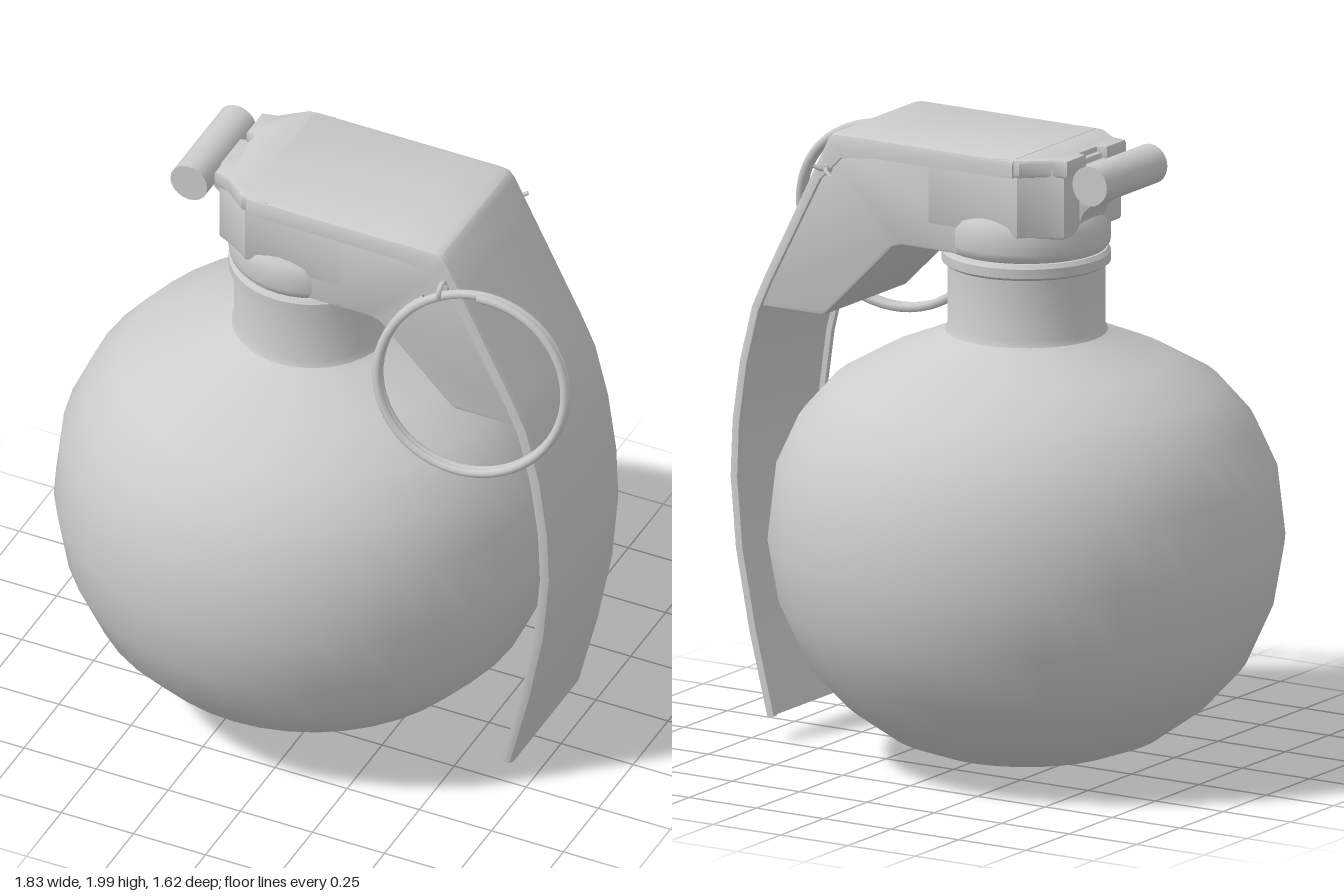
import * as THREE from 'three';
import { toCreasedNormals } from 'three/addons/utils/BufferGeometryUtils.js';

const grey = new THREE.MeshStandardMaterial({ color: 0xcccccc, side: THREE.DoubleSide });
const V2 = (p) => new THREE.Vector2(p[0], p[1]);
const AXIS_X = -0.11;

function add(parent, name, geometry, crease) {
  const mesh = new THREE.Mesh(crease ? toCreasedNormals(geometry, crease) : geometry, grey);
  mesh.name = name;
  parent.add(mesh);
  return mesh;
}

function lathe(parent, name, points, segments = 40) {
  const mesh = add(parent, name, new THREE.LatheGeometry(points.map(V2), segments), 0.6);
  mesh.position.x = AXIS_X;
  return mesh;
}

// Side outline in x/y, extruded evenly about z = 0
function sideBlock(parent, name, points, halfWidth, bevel) {
  const g = new THREE.ExtrudeGeometry(new THREE.Shape(points.map(V2)), {
    depth: 2 * (halfWidth - bevel), bevelThickness: bevel, bevelSize: bevel, bevelOffset: -bevel, bevelSegments: 2,
  });
  g.translate(0, 0, -(halfWidth - bevel));
  return add(parent, name, g, 0.6);
}

// Plan outline in x/z, extruded from y0 up to y1
function planBlock(parent, name, points, y0, y1, bevel) {
  const g = new THREE.ExtrudeGeometry(new THREE.Shape(points.map(V2)), {
    depth: y1 - y0 - 2 * bevel, bevelThickness: bevel, bevelSize: bevel, bevelOffset: -bevel, bevelSegments: 2,
  });
  g.rotateX(-Math.PI / 2);
  g.translate(0, y0 + bevel, 0);
  return add(parent, name, g, 0.6);
}

// U-shaped sheet swept along a path in x/y; flange depth is given per point
function channel(path) {
  const section = (f) => [
    [-0.255, f], [-0.255, 0.022], [-0.249, 0.007], [-0.233, 0], [0.233, 0], [0.249, 0.007],
    [0.255, 0.022], [0.255, f], [0.236, f], [0.236, 0.016], [-0.236, 0.016], [-0.236, f],
  ];
  const n = section(0.03).length, pos = [], idx = [];
  path.forEach(([x, y, f], i) => {
    const a = V2(path[Math.max(i - 1, 0)]), b = V2(path[Math.min(i + 1, path.length - 1)]);
    const t = b.sub(a).normalize();
    for (const [z, d] of section(f)) pos.push(x + t.y * d, y - t.x * d, z);
  });
  for (let i = 0; i < path.length - 1; i++) {
    for (let j = 0; j < n; j++) {
      const a = i * n + j, b = i * n + (j + 1) % n;
      idx.push(a, b, a + n, b, b + n, a + n);
    }
  }
  // End caps
  const last = (path.length - 1) * n;
  for (const [a, b, c] of THREE.ShapeUtils.triangulateShape(section(0.035).map(V2), [])) {
    idx.push(a, b, c, last + a, last + c, last + b);
  }
  const g = new THREE.BufferGeometry();
  g.setAttribute('position', new THREE.Float32BufferAttribute(pos, 3));
  g.setIndex(idx);
  return g;
}

// Split ring: a coil of nearly two turns lying in a tilted plane
class CoilCurve extends THREE.Curve {
  getPoint(t, target = new THREE.Vector3()) {
    const a = 2.2 + t * Math.PI * 3.8;
    const x = 0.305 * Math.cos(a), y = 0.305 * Math.sin(a);
    return target.set(0.595 + x, 1.59 + y, 0.305 - 0.15 * x - 0.18 * y + 0.03 * t);
  }
}

export function createModel() {
  const model = new THREE.Group();
  model.name = 'leverTopVessel';

  // Round body running up into the neck
  lathe(model, 'body', [
    [0, 0.008], [0.31, 0.055], [0.43, 0.1], [0.57, 0.2], [0.69, 0.33], [0.775, 0.52], [0.81, 0.72],
    [0.785, 0.94], [0.715, 1.095], [0.61, 1.215], [0.46, 1.3], [0.28, 1.375], [0.255, 1.39], [0.247, 1.41],
    [0.247, 1.62],
  ]);
  lathe(model, 'collar', [
    [0.2, 1.605], [0.25, 1.605], [0.265, 1.615], [0.265, 1.645], [0.255, 1.658], [0.2, 1.658],
  ]);

  // Head: rounded base, tapered core and the cheek that slopes down behind the lever
  const head = new THREE.Group();
  head.name = 'head';
  model.add(head);
  lathe(head, 'headBase', [
    [0, 1.66], [0.25, 1.66], [0.262, 1.675], [0.265, 1.69], [0.265, 1.745], [0.255, 1.775], [0.235, 1.8], [0, 1.8],
  ]);
  planBlock(head, 'headCore', [
    [-0.355, -0.165], [-0.31, -0.185], [-0.23, -0.24], [0.1, -0.24], [0.1, 0.24], [-0.23, 0.24],
    [-0.31, 0.185], [-0.355, 0.165],
  ], 1.74, 1.98, 0.012);
  sideBlock(head, 'cheek', [
    [-0.15, 1.665], [0.2, 1.665], [0.235, 1.655], [0.26, 1.63], [0.485, 1.405], [0.5, 1.4], [0.72, 1.4],
    [0.74, 1.415], [0.48, 1.93], [0.44, 1.98], [-0.15, 1.98],
  ], 0.24, 0.01);

  // Notched end of the cover plate
  planBlock(head, 'coverEnd', [
    [-0.37, -0.17], [-0.32, -0.18], [-0.24, -0.245], [-0.15, -0.25], [-0.15, 0.25], [-0.24, 0.245],
    [-0.32, 0.18], [-0.37, 0.17], [-0.37, 0.06], [-0.34, 0.05], [-0.34, -0.05], [-0.37, -0.06],
  ], 1.94, 1.999, 0.01);

  // Hinge barrel and its bracket
  const barrel = new THREE.CylinderGeometry(0.064, 0.064, 0.35, 20);
  barrel.rotateX(Math.PI / 2);
  add(head, 'hingeBarrel', barrel, 0.6).position.set(-0.455, 1.93, 0.003);
  sideBlock(head, 'hingeBracket', [
    [-0.44, 1.875], [-0.37, 1.81], [-0.345, 1.75], [-0.3, 1.75], [-0.3, 1.96], [-0.36, 1.96], [-0.41, 1.95],
  ], 0.075, 0.008);

  // Cover and lever pressed from one channel
  add(model, 'lever', channel([
    [-0.22, 2, 0.06], [0.3, 2, 0.065], [0.43, 2, 0.08], [0.455, 1.993, 0.08], [0.475, 1.97, 0.08],
    [0.53, 1.86, 0.04], [0.71, 1.5, 0.035], [0.755, 1.4, 0.035], [0.8, 1.22, 0.035], [0.828, 1.02, 0.035],
    [0.835, 0.84, 0.035], [0.815, 0.61, 0.035], [0.765, 0.35, 0.035], [0.698, 0.08, 0.035],
  ]), 0.6);

  // Safety pin with spread tips at the back, and its pull ring
  const pin = new THREE.CylinderGeometry(0.016, 0.016, 0.54, 10);
  pin.rotateX(Math.PI / 2);
  add(model, 'pin', pin, 0.6).position.set(0.47, 1.88, 0);
  for (const s of [-1, 1]) {
    const tip = new THREE.CatmullRomCurve3([
      new THREE.Vector3(0.47, 1.88, -0.25), new THREE.Vector3(0.47 + s * 0.006, 1.88, -0.27),
      new THREE.Vector3(0.47 + s * 0.03, 1.88 + s * 0.012, -0.283),
    ]);
    add(model, 'pinTip', new THREE.TubeGeometry(tip, 6, 0.007, 6));
  }
  const eye = add(model, 'pinEye', new THREE.TorusGeometry(0.025, 0.009, 8, 16));
  eye.position.set(0.47, 1.88, 0.275);
  eye.rotation.y = Math.PI / 2;
  add(model, 'pullRing', new THREE.TubeGeometry(new CoilCurve(), 110, 0.015, 8));

  return model;
}
